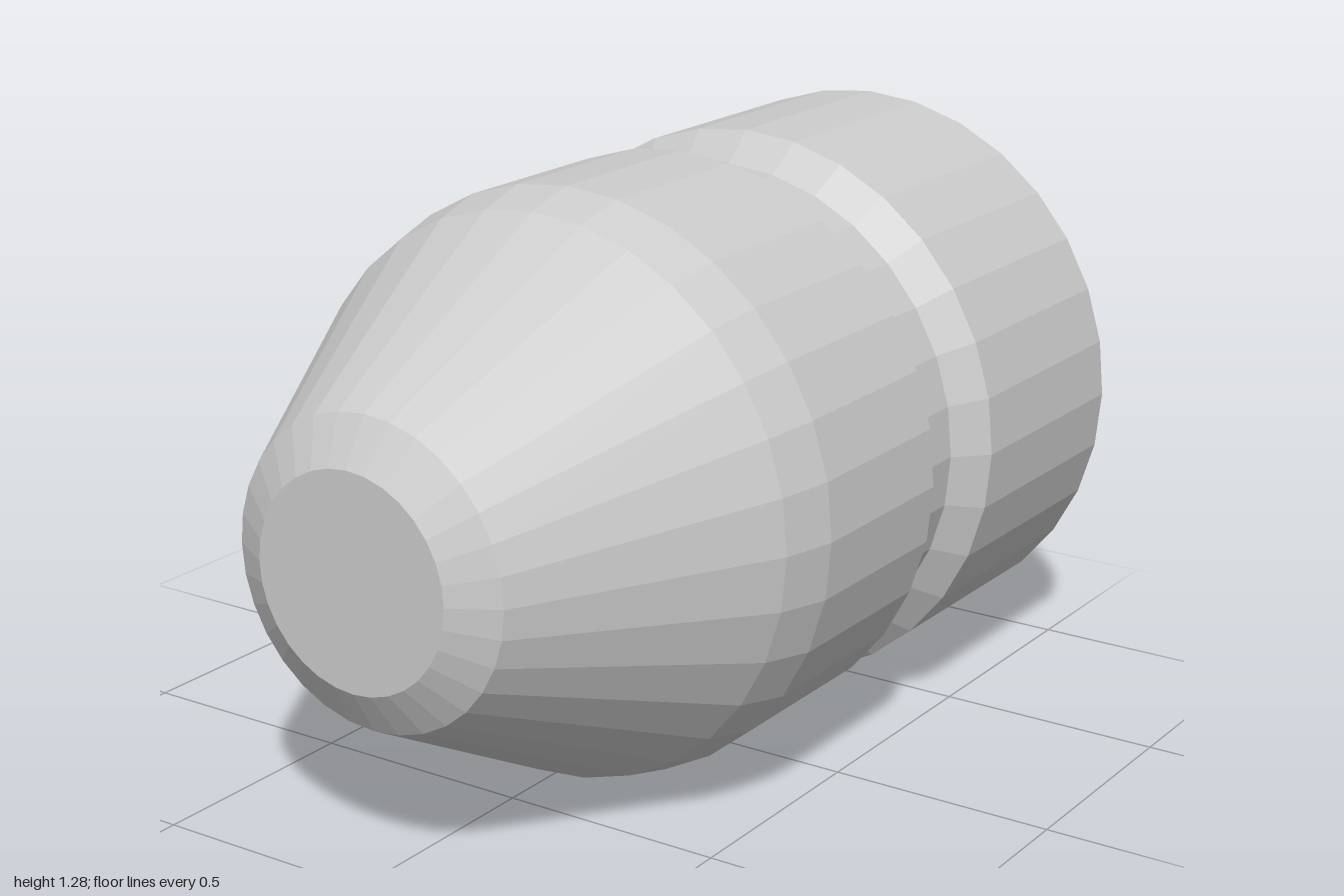
import * as THREE from 'three';

const SIDES = 32;
const CENTRE_Y = 0.643;

// Turned part along z; profile is [radius, z] from back to front
function turned(name, profile) {
  const points = profile.map(([r, z]) => new THREE.Vector2(r, z));
  const geometry = new THREE.LatheGeometry(points, SIDES);
  geometry.rotateX(Math.PI / 2);
  const material = new THREE.MeshStandardMaterial({ color: 0xcccccc, flatShading: true });
  const mesh = new THREE.Mesh(geometry, material);
  mesh.name = name;
  mesh.position.y = CENTRE_Y;
  return mesh;
}

export function createModel() {
  const group = new THREE.Group();
  group.name = 'turnedPlug';

  // Rear cylinder with chamfered rims and flat back
  group.add(turned('rearBody', [
    [0, -1], [0.575, -1], [0.64, -0.935], [0.64, -0.39], [0.575, -0.325],
  ]));

  // Recessed band between the two bodies
  group.add(turned('groove', [[0.575, -0.325], [0.575, -0.195]]));

  // Front cylinder running into the tapered nose with a flat tip
  group.add(turned('frontBodyAndNose', [
    [0.575, -0.195], [0.64, -0.13], [0.64, 0.285], [0.61, 0.405],
    [0.325, 0.943], [0.228, 1], [0, 1],
  ]));

  return group;
}
